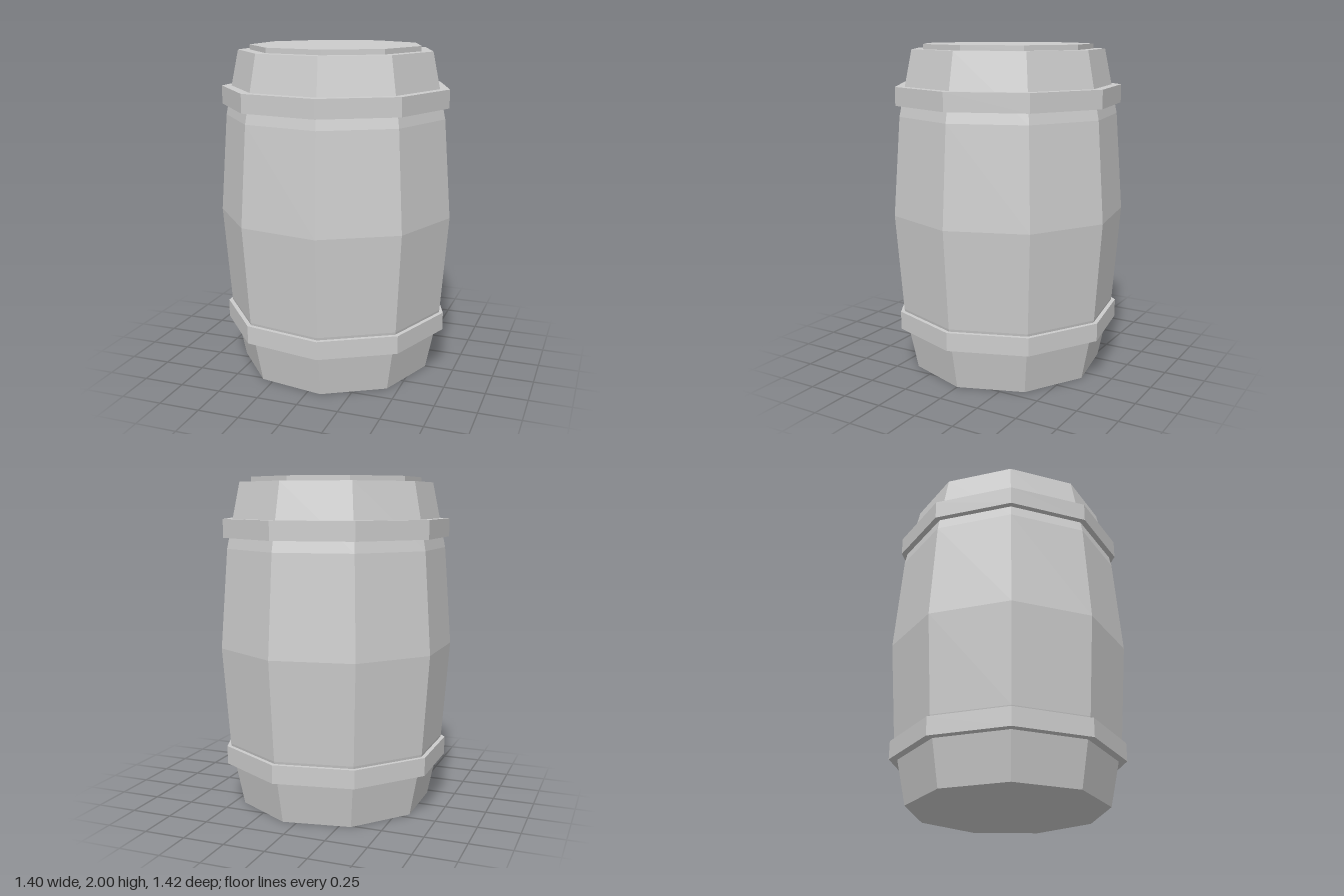
import * as THREE from 'three';

const SIDES = 9;
const OFFSET_X = -0.022; // a nine-sided ring with a corner on +x is not symmetric in x

// Faceted solid of revolution from [radius, height] points, listed bottom to top
function faceted(name, profile, material) {
  const points = profile.map(([r, y]) => new THREE.Vector2(r, y));
  const lathe = new THREE.LatheGeometry(points, SIDES, Math.PI / 2, Math.PI * 2);
  const geometry = lathe.toNonIndexed();
  geometry.computeVertexNormals();
  const mesh = new THREE.Mesh(geometry, material);
  mesh.name = name;
  return mesh;
}

export function createModel() {
  const grey = new THREE.MeshStandardMaterial({ color: 0xcccccc, flatShading: true });
  grey.name = 'light grey';

  const barrel = new THREE.Group();
  barrel.name = 'barrel';
  barrel.position.x = OFFSET_X;

  // Bulging body, closed at both ends
  barrel.add(faceted('body', [
    [0, 0], [0.594, 0], [0.675, 0.39], [0.72, 0.985],
    [0.675, 1.58], [0.594, 1.97], [0, 1.97],
  ], grey));

  // Two hoops, let into the body
  for (const [name, y0, y1] of [['lowerHoop', 0.265, 0.375], ['upperHoop', 1.645, 1.755]]) {
    barrel.add(faceted(name, [[0.61, y0], [0.698, y0], [0.698, y1], [0.61, y1]], grey));
  }

  // Raised lid
  barrel.add(faceted('lid', [[0.523, 1.965], [0.523, 2], [0, 2]], grey));

  const model = new THREE.Group();
  model.name = 'model';
  model.add(barrel);
  return model;
}
